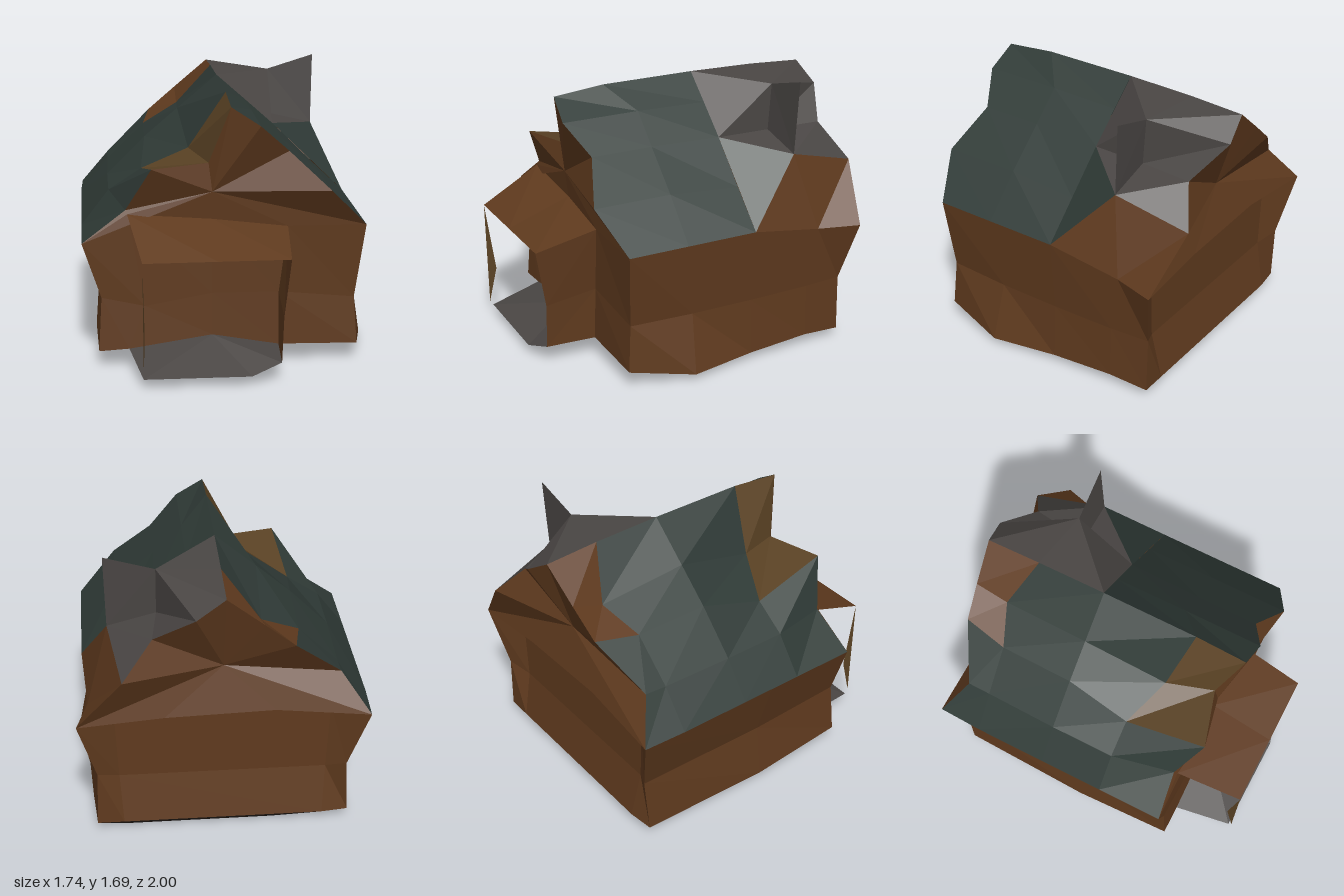
import * as THREE from 'three';

const COLORS = { roof: 0x2f3a36, wood: 0x5f3a1e, gold: 0x5a4224, stone: 0x4a4644, base: 0x2c2420 };

// Mesh from a list of triangles, each three [x, y, z] points
function facets(name, color, tris) {
  const g = new THREE.BufferGeometry();
  g.setAttribute('position', new THREE.Float32BufferAttribute(tris.flat(2), 3));
  g.computeVertexNormals();
  const m = new THREE.Mesh(g, new THREE.MeshStandardMaterial({
    color, flatShading: true, side: THREE.DoubleSide, roughness: 1 }));
  m.name = name;
  return m;
}

// Triangles joining neighbouring rows of points
function loft(rows, closed = false) {
  const tris = [];
  for (let r = 0; r + 1 < rows.length; r++) {
    const a = rows[r], b = rows[r + 1], n = a.length;
    for (let i = 0; i < (closed ? n : n - 1); i++) {
      const j = (i + 1) % n;
      tris.push([a[i], b[i], b[j]], [a[i], b[j], a[j]]);
    }
  }
  return tris;
}

// Triangles from a centre to each edge of a rim
function fan(c, rim, closed = true) {
  const tris = [];
  for (let i = 0; i < (closed ? rim.length : rim.length - 1); i++)
    tris.push([c, rim[i], rim[(i + 1) % rim.length]]);
  return tris;
}

export function createModel() {
  const house = new THREE.Group();
  house.name = 'house';

  // Roof edges, listed from ridge to eave
  const ridgeFront = [0, 1.6, 0.72], ridgeMid = [0, 1.63, -0.2], ridgeBack = [0, 1.6, -0.97];
  const leftFront = [ridgeFront, [-0.12, 1.25, 0.6], [-0.46, 1.24, 0.7], [-0.61, 0.97, 0.58], [-0.87, 0.78, 0.61]];
  const leftBack = [ridgeBack, [-0.22, 1.42, -0.95], [-0.4, 1.27, -0.93], [-0.69, 1.01, -0.79], [-0.86, 0.78, -0.92]];
  const rightFront = [ridgeFront, [0.17, 1.49, 0.74], [0.35, 1.32, 0.64], [0.59, 1.1, 0.74], [0.82, 0.86, 0.63]];
  const rightMid = [ridgeMid, [0.17, 1.48, -0.2], [0.36, 1.31, -0.2], [0.6, 1.07, -0.2], [0.82, 0.86, -0.2]];
  const rightBack = [ridgeBack, [0.17, 1.49, -1], [0.41, 1.32, -0.88], [0.59, 1.11, -1], [0.86, 0.78, -0.92]];

  // Left slope with dents near the front and the back
  const dent = [[0, 1.63, 0.4], [-0.22, 1.28, 0.32], [-0.5, 1.13, 0.2], [-0.7, 1.0, 0.2], [-0.87, 0.78, 0.2]];
  const leftMid = [ridgeMid, [-0.25, 1.42, -0.2], [-0.46, 1.24, -0.2], [-0.7, 1.0, -0.2], [-0.87, 0.78, -0.2]];
  const gash = [[0, 1.62, -0.63], [-0.22, 1.35, -0.75], [-0.45, 1.23, -0.66], [-0.69, 1.0, -0.65], [-0.87, 0.78, -0.65]];
  const roof = new THREE.Group();
  roof.name = 'roof';
  roof.add(
    facets('roofLeftFront', COLORS.gold, loft([leftFront.slice(0, 3), dent.slice(0, 3)])),
    facets('roofLeftFrontEave', COLORS.roof, loft([leftFront.slice(2), dent.slice(2)])),
    facets('roofLeft', COLORS.roof, loft([dent, leftMid, gash])),
    facets('roofLeftBack', COLORS.wood, loft([gash.slice(0, 3), leftBack.slice(0, 3)])),
    facets('roofLeftBackEave', COLORS.roof, loft([gash.slice(2), leftBack.slice(2)])),
    facets('roofRight', COLORS.roof, loft([
      rightFront,
      rightFront.map((p, i) => [p[0], i ? p[1] : 1.63, i ? 0.25 : 0.4]),
      rightMid]))
  );
  house.add(roof);

  // Chimney: lifted roof corner and an upright sheet
  const A = [0.37, 1.6, -0.56], B = [0.67, 1.69, -0.57];
  const C = [0.37, 1.31, -0.54], D = [0.66, 1.24, -0.55];
  const M = rightMid[2], E = rightMid[4], N = [0.79, 0.78, -0.66];
  const [, p1, p2, p3, tip] = rightBack;
  const leftTip = leftBack[4];
  house.add(
    facets('chimney', COLORS.stone, [
      [A, C, D], [A, D, B],
      [ridgeMid, A, M], [ridgeMid, gash[0], A], [gash[0], ridgeBack, A], [ridgeBack, p1, A],
      [A, p1, C], [A, C, M], [C, p1, p2], [C, p2, D], [D, p2, p3], [M, C, D]]),
    facets('roofRightBack', COLORS.roof, [[M, D, E]]),
    facets('roofRightBackCorner', COLORS.wood, [[D, p3, N], [D, N, E], [p3, tip, N]])
  );

  // Walls: rings running from front right round the back, which is recessed
  const wallTop = [
    [0.82, 0.86, 0.63], [0.82, 0.86, 0.2], E, N, tip,
    [0.64, 0.78, -0.79], [-0.64, 0.78, -0.79], leftTip, [-0.87, 0.78, 0],
    [-0.87, 0.78, 0.61], [-0.6, 0.95, 0.6], [-0.1, 0.91, 0.6], [0.35, 0.86, 0.62]];
  const wallMid = [
    [0.76, 0.4, 0.6], [0.78, 0.4, 0.2], [0.78, 0.4, -0.2], [0.77, 0.4, -0.6], [0.75, 0.4, -0.85],
    [0.62, 0.35, -0.79], [-0.62, 0.35, -0.79], [-0.74, 0.4, -0.85], [-0.75, 0.4, 0],
    [-0.76, 0.44, 0.6], [-0.5, 0.38, 0.6], [-0.1, 0.45, 0.6], [0.3, 0.45, 0.61]];
  const wallFoot = [
    [0.78, 0.11, 0.62], [0.87, 0.04, 0.22], [0.8, 0.05, -0.2], [0.78, 0.07, -0.6], [0.76, 0.05, -0.85],
    [0.6, 0.05, -0.85], [-0.6, 0.05, -0.85], [-0.76, 0.05, -0.83], [-0.79, 0.06, 0],
    [-0.78, 0.11, 0.62], [-0.6, 0.12, 0.62], [-0.1, 0.19, 0.61], [0.3, 0.12, 0.62]];
  const underside = [
    [0.45, 0, 0.28], [0.55, 0, 0.2], [0.6, 0, -0.2], [0.6, 0, -0.6], [0.55, 0, -0.8],
    [0.3, 0, -0.8], [-0.3, 0, -0.8], [-0.6, 0, -0.78], [-0.63, 0, 0],
    [-0.6, 0.01, 0.28], [-0.5, 0, 0.28], [-0.1, 0, 0.28], [0.2, 0, 0.28]];
  house.add(
    facets('walls', COLORS.wood, loft([wallTop, wallMid, wallFoot], true)),
    facets('base', COLORS.base, [...loft([wallFoot, underside], true), ...fan([0, 0, -0.2], underside)])
  );

  // Gables and the ledge under the back one
  const frontRim = [...leftFront.slice().reverse(), ...rightFront.slice(1),
    wallTop[12], wallTop[11], wallTop[10]];
  const ledge = [tip, [0.35, 0.81, -0.9], [-0.3, 0.83, -0.9], leftTip];
  const backRim = [...leftBack.slice().reverse(), ...rightBack.slice(1, 4), ...ledge.slice(0, 3)];
  house.add(
    facets('frontGable', COLORS.wood, fan([-0.1, 1.08, 0.62], frontRim)),
    facets('backGable', COLORS.wood, fan([0, 1.1, -0.82], backRim)),
    facets('backLedge', COLORS.wood, loft([ledge, wallTop.slice(4, 8)]))
  );

  // Porch: sloping roof, right wall, thin left post, floor
  const porch = new THREE.Group();
  porch.name = 'porch';
  const roofL = [-0.53, 0.77, 1], roofR = [0.32, 0.77, 1];
  const midR = [0.29, 0.4, 0.93], footR = [0.28, 0.12, 0.93];
  porch.add(
    facets('porchRoof', COLORS.wood, loft([[wallTop[10], wallTop[11], wallTop[12]],
      [roofL, [-0.1, 0.77, 1], roofR]])),
    facets('porchWall', COLORS.wood, loft([[wallTop[12], wallMid[12], wallFoot[12]], [roofR, midR, footR]])),
    facets('porchPost', COLORS.gold, [[roofL, [-0.53, 0.09, 0.99], [-0.52, 0.32, 0.94]]]),
    facets('porchFloor', COLORS.stone, fan(wallFoot[11],
      [wallFoot[10], [-0.53, 0.06, 0.97], [0.1, 0.06, 0.98], footR, wallFoot[12]], false))
  );
  house.add(porch);
  return house;
}
